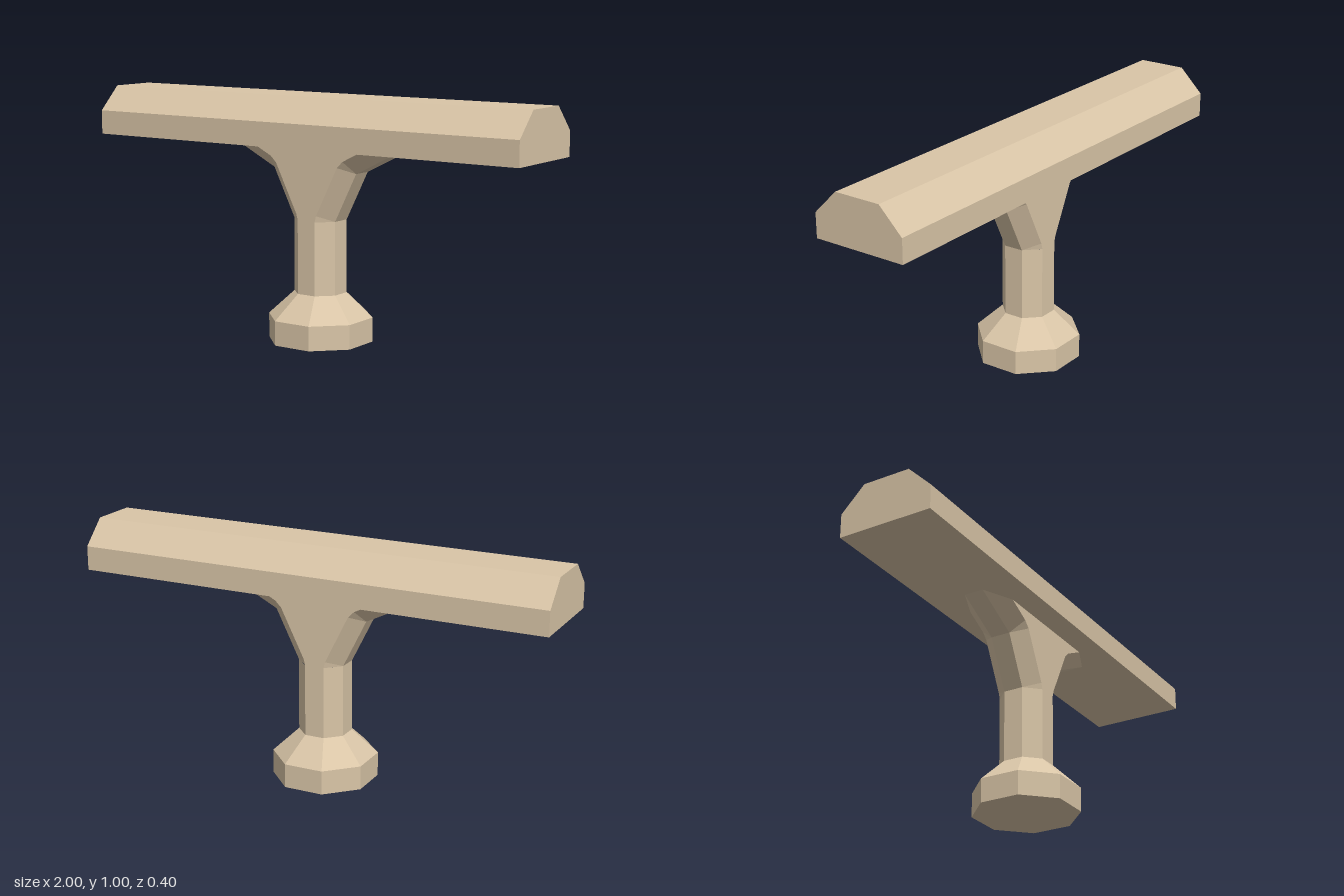
import * as THREE from 'three';

// Skin a stack of eight-sided sections; each is [outerX, outerY, chamferX, chamferY, halfDepth, chamferZ]
function loft(sections, capBottom = false) {
  const positions = [];
  const rings = sections.map(([xo, yo, xi, yi, zi, zo]) => [
    [xo, yo, zo], [xi, yi, zi], [-xi, yi, zi], [-xo, yo, zo],
    [-xo, yo, -zo], [-xi, yi, -zi], [xi, yi, -zi], [xo, yo, -zo],
  ]);
  const tri = (...pts) => {
    const distinct = new Set(pts.map(String)).size === 3;
    if (distinct) pts.forEach((p) => positions.push(...p));
  };
  for (let i = 0; i < rings.length - 1; i++) {
    for (let j = 0; j < 8; j++) {
      const k = (j + 1) % 8;
      const a = rings[i][j], b = rings[i][k], c = rings[i + 1][j], d = rings[i + 1][k];
      tri(b, a, c);
      tri(b, c, d);
    }
  }
  if (capBottom) for (let j = 1; j < 7; j++) tri(rings[0][0], rings[0][j], rings[0][j + 1]);
  const geometry = new THREE.BufferGeometry();
  geometry.setAttribute('position', new THREE.Float32BufferAttribute(positions, 3));
  geometry.computeVertexNormals();
  return geometry;
}

// Level regular octagon with the given apothem
function octagon(r, y) {
  const half = r * Math.tan(Math.PI / 8);
  return [r, y, half, y, r, half];
}

export function createModel() {
  const group = new THREE.Group();
  const sandstone = new THREE.MeshStandardMaterial({ color: 0xd9c5a7 });
  sandstone.name = 'sandstone';
  sandstone.flatShading = true;
  const add = (name, geometry) => {
    const mesh = new THREE.Mesh(geometry, sandstone);
    mesh.name = name;
    group.add(mesh);
    return mesh;
  };

  // Octagonal foot tapering into the shaft
  add('foot', loft([octagon(0.2, 0), octagon(0.2, 0.1), octagon(0.1, 0.2)], true));
  add('shaft', loft([octagon(0.1, 0.2), octagon(0.1, 0.5)]));

  // Flared bracket: two bends on each side with bevelled edges
  const bevel = 0.1 * Math.tan(Math.PI / 8);
  const bracket = [
    [0.1, 0.5, 0.041, 0.5],
    [0.1, 0.5, 0.048, 0.526],
    [0.2, 0.7, 0.148, 0.726],
    [0.2, 0.7, 0.174, 0.752],
    [0.4, 0.8, 0.27, 0.8],
  ].map((s) => [...s, 0.1, bevel]);
  add('bracket', loft(bracket));

  // Long rail with bevelled top edges
  const profile = new THREE.Shape([
    [-0.2, 0.8], [0.2, 0.8], [0.2, 0.9], [0.1, 1], [-0.1, 1], [-0.2, 0.9],
  ].map(([x, y]) => new THREE.Vector2(x, y)));
  const rail = new THREE.ExtrudeGeometry(profile, { depth: 2, bevelEnabled: false });
  rail.translate(0, 0, -1).rotateY(Math.PI / 2);
  add('rail', rail);

  return group;
}
